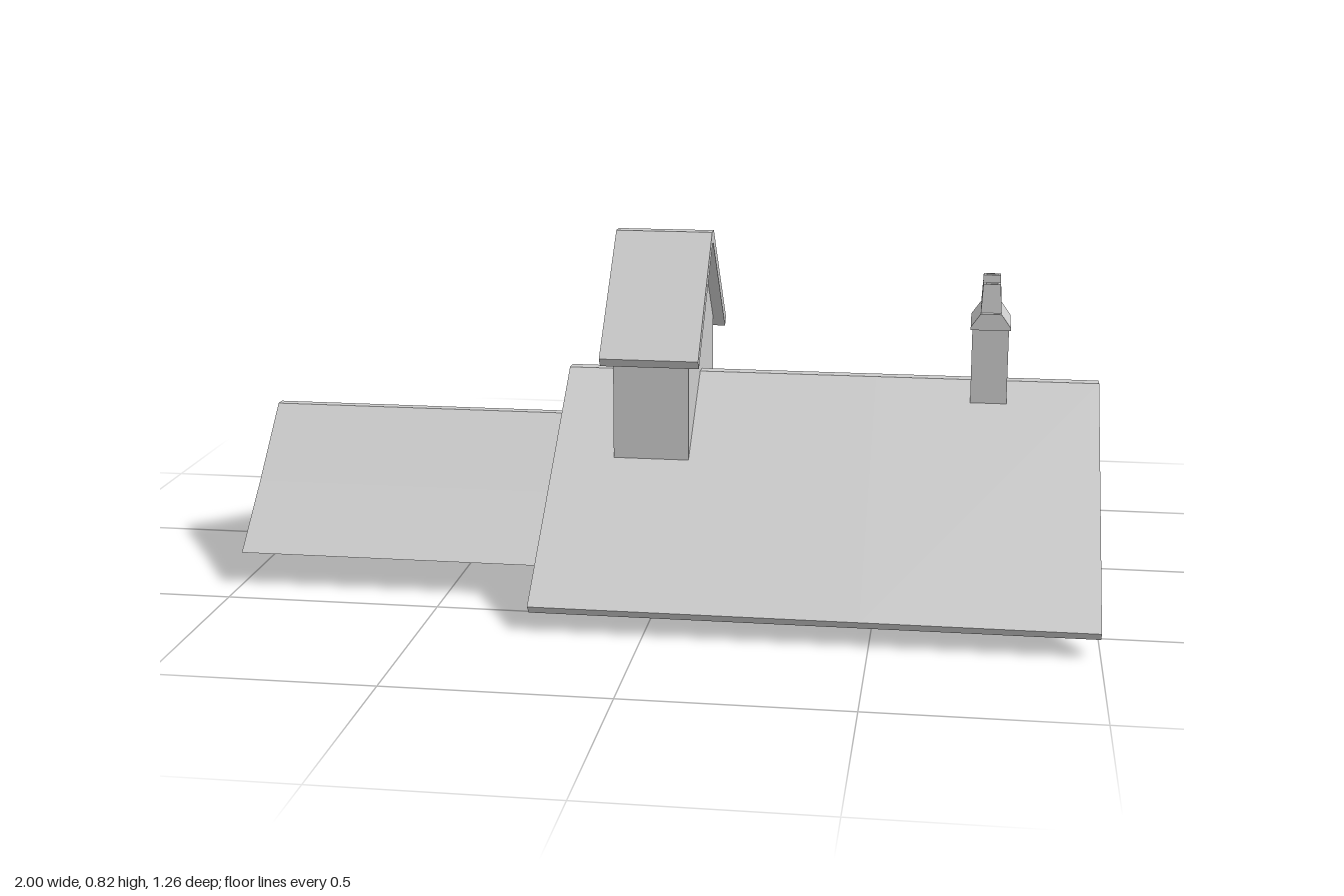
import * as THREE from 'three';

export function createModel() {
  const model = new THREE.Group();
  const slate = new THREE.MeshStandardMaterial({ color: 0xcccccc, side: THREE.DoubleSide });
  slate.name = 'paleGrey';

  function add(name, geometry, parent = model) {
    const mesh = new THREE.Mesh(geometry, slate);
    mesh.name = name;
    parent.add(mesh);
    return mesh;
  }
  // outline given as [z, y] points
  const outline = pts => new THREE.Shape(pts.map(([z, y]) => new THREE.Vector2(-z, y)));

  // solid profile running along x
  function prism(name, pts, x0, x1, parent) {
    const g = new THREE.ExtrudeGeometry(outline(pts), { depth: x1 - x0, bevelEnabled: false });
    g.rotateY(Math.PI / 2).translate(x0, 0, 0);
    return add(name, g, parent);
  }
  // flat sheet facing along x
  function sheet(name, pts, x, parent) {
    const g = new THREE.ShapeGeometry(outline(pts));
    g.rotateY(Math.PI / 2).translate(x, 0, 0);
    return add(name, g, parent);
  }
  // faceted open surface from triangles of corner points
  function facets(name, triangles, parent) {
    const g = new THREE.BufferGeometry();
    g.setAttribute('position', new THREE.Float32BufferAttribute(triangles.flat(2), 3));
    g.computeVertexNormals();
    return add(name, g, parent);
  }
  const quad = (a, b, c, d) => [[a, b, c], [a, c, d]];

  // main roof: thick slab, with a kicked-out rear eave over its left part
  const front = [[0.61, 0.04], [0.63, 0.06], [0.098, 0.488], [0.066, 0.488]];
  const inner = [[0.074, 0.453], [0.092, 0.453]];
  prism('mainRoof', [...front, [-0.43, 0.096], [-0.405, 0.076], ...inner], -0.26, 0.48);
  prism('mainRoofWithKickedEave',
    [...front, [-0.425, 0.1], [-0.63, 0.025], [-0.605, 0.003], [-0.39, 0.08], ...inner], 0.48, 1);

  // gable walls, open underneath
  for (const x of [-0.235, 0.975]) {
    sheet('gableWall', [[0.55, 0.085], [0.092, 0.455], [0.074, 0.455], [-0.395, 0.085]], x);
  }

  // low side wing: thin roof with slightly bent slopes
  const wing = [[0.4, 0.08], [0.25, 0.215], [0.09, 0.37], [0.065, 0.37], [-0.1, 0.215], [-0.25, 0.08]];
  const wingFaces = [];
  for (let i = 0; i < wing.length - 1; i++) {
    const [z0, y0] = wing[i], [z1, y1] = wing[i + 1];
    wingFaces.push(...quad([-1, y0, z0], [-0.24, y0, z0], [-0.24, y1, z1], [-1, y1, z1]));
  }
  facets('wingRoof', wingFaces);

  // tower with its own gabled roof
  const tower = new THREE.Group();
  tower.name = 'tower';
  model.add(tower);
  prism('towerRoof', [[0.325, 0.545], [0.34, 0.565], [0.092, 0.824], [0.06, 0.824],
    [-0.188, 0.565], [-0.17, 0.545], [0.071, 0.795], [0.083, 0.795]], -0.145, 0.085, tower);
  for (const x of [-0.118, 0.058]) {
    sheet('towerGableWall', [[0.304, 0.322], [0.304, 0.57], [0.083, 0.798], [0.071, 0.798],
      [-0.145, 0.57], [-0.145, 0.322]], x, tower);
  }
  for (const z of [0.304, -0.145]) {
    const g = new THREE.PlaneGeometry(0.176, 0.248);
    if (z < 0) g.rotateY(Math.PI);
    add('towerEaveWall', g, tower).position.set(-0.03, 0.446, z);
  }

  // chimney: stack, tapered cap and three hollow pots
  const chimney = new THREE.Group();
  chimney.name = 'chimney';
  chimney.position.set(0.744, 0, 0.077);
  model.add(chimney);
  add('chimneyStack', new THREE.BoxGeometry(0.084, 0.175, 0.15), chimney).position.y = 0.5325;
  const capShape = new THREE.Shape([[-0.046, 0.62], [0.046, 0.62], [0.046, 0.627], [0.024, 0.658],
    [-0.024, 0.658], [-0.046, 0.627]].map(p => new THREE.Vector2(...p)));
  const cap = new THREE.ExtrudeGeometry(capShape, { depth: 0.162, bevelEnabled: false });
  add('chimneyCap', cap.translate(0, 0, -0.081), chimney);
  const ring = (w, d) => [[-w, -d], [w, -d], [w, d], [-w, d]].map(p => new THREE.Vector2(...p));
  for (const [z, top] of [[-0.048, 0.725], [0, 0.738], [0.048, 0.725]]) {
    const pot = new THREE.Shape(ring(0.02, 0.012));
    pot.holes.push(new THREE.Path(ring(0.013, 0.007)));
    const g = new THREE.ExtrudeGeometry(pot, { depth: top - 0.655, bevelEnabled: false });
    g.rotateX(-Math.PI / 2);
    // pots flare slightly towards the base
    const p = g.attributes.position;
    for (let i = 0; i < p.count; i++) {
      if (p.getY(i) < 0.01) p.setXYZ(i, p.getX(i) * 1.2, p.getY(i), p.getZ(i) * 1.5);
    }
    g.computeVertexNormals();
    add('chimneyPot', g, chimney).position.set(0, 0.655, z);
  }

  // rear dormer: sagging ridge with a flared open end
  const dormer = new THREE.Group();
  dormer.name = 'dormer';
  dormer.position.x = 0.748;
  model.add(dormer);
  const r0 = [0, 0.253, -0.5], r1 = [0, 0.235, -0.393], r2 = [0, 0.325, -0.142];
  for (const s of [-1, 1]) {
    const e0 = [s * 0.155, 0.07, -0.5], e1 = [s * 0.137, 0.105, -0.4];
    const sides = [[r0, r1, e0], [r1, e1, e0], [r1, r2, e1]];
    facets('dormerRoof', s > 0 ? sides.map(t => [t[0], t[1], t[2]]) : sides.map(t => [t[0], t[2], t[1]]), dormer);
    const i0 = [0, 0.222, -0.5], i1 = [s * 0.128, 0.07, -0.5];
    const back = p => [p[0], p[1], -0.475];
    facets('dormerRim', [...quad(r0, e0, i1, i0), ...quad(i0, i1, back(i1), back(i0))], dormer);
  }
  facets('dormerGable', [[[0, 0.222, -0.475], [0.128, 0.07, -0.475], [-0.128, 0.07, -0.475]]], dormer);

  return model;
}
